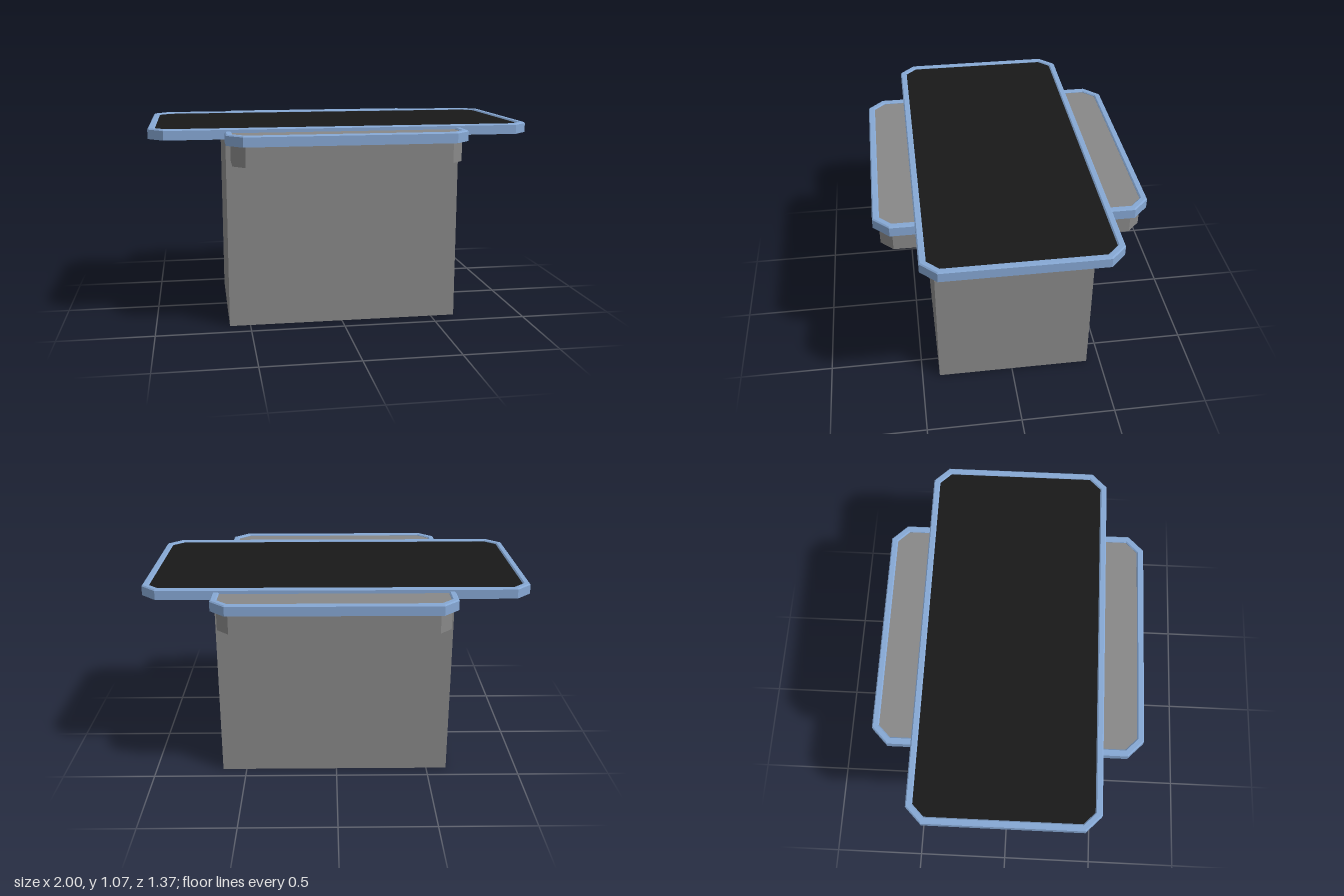
import * as THREE from 'three';

const mat = (color) => new THREE.MeshStandardMaterial({ color, flatShading: true });
const CHAMFER = 0.08;

// Outline with chamfered corners, inset by d, as [x, z] points running
// left to right along the front. With an inner end it is cut off square there.
function outline(halfX, halfZ, d, endZ) {
  const a = halfX - d, b = halfZ - d, c = CHAMFER - d * (2 - Math.SQRT2);
  const front = [[-a, b - c], [-a + c, b], [a - c, b], [a, b - c]];
  if (endZ !== undefined) return [[-a, endZ], ...front, [a, endZ]];
  return [...front, ...front.map(([x, z]) => [-x, -z])];
}

// Solid slab filling an outline between two heights
function slab(points, bottom, top) {
  const shape = new THREE.Shape(points.map(([x, z]) => new THREE.Vector2(x, z)));
  const geo = new THREE.ExtrudeGeometry(shape, { depth: top - bottom, bevelEnabled: false });
  return geo.rotateX(Math.PI / 2).translate(0, top, 0);
}

// Rim with small top bevels, swept around an outline
function rim(halfX, halfZ, bottom, top, endZ) {
  const w = 0.035, e = 0.006;
  const profile = [
    [0, bottom], [0, top - e], [e, top], [w - e, top], [w, top - e], [w, bottom],
  ];
  const m = profile.length, open = endZ !== undefined;
  const rings = profile.map(([d]) => outline(halfX, halfZ, d, endZ));
  const n = rings[0].length, pos = [], index = [];
  for (let i = 0; i < n; i++) {
    for (let j = 0; j < m; j++) pos.push(rings[j][i][0], profile[j][1], rings[j][i][1]);
  }
  for (let i = 0; i < (open ? n - 1 : n); i++) {
    for (let j = 0; j < m; j++) {
      const i2 = ((i + 1) % n) * m, j2 = (j + 1) % m, i1 = i * m;
      index.push(i1 + j, i2 + j, i2 + j2, i1 + j, i2 + j2, i1 + j2);
    }
  }
  // Close the two ends of an open rim
  if (open) {
    const s = (n - 1) * m;
    for (let k = 1; k < m - 1; k++) index.push(0, k, k + 1, s, s + k + 1, s + k);
  }
  const geo = new THREE.BufferGeometry();
  geo.setAttribute('position', new THREE.Float32BufferAttribute(pos, 3));
  geo.setIndex(index);
  const flat = geo.toNonIndexed();
  flat.computeVertexNormals();
  return flat;
}

export function createModel() {
  const model = new THREE.Group();
  model.name = 'table';
  const grey = mat(0x888888), blue = mat(0x86a8d4), black = mat(0x181818);

  const add = (parent, name, geo, material) => {
    const mesh = new THREE.Mesh(geo, material);
    mesh.name = name;
    parent.add(mesh);
    return mesh;
  };

  // Block base
  add(model, 'base', new THREE.BoxGeometry(1.24, 1.015, 0.83), grey)
    .position.set(0.01, 0.5075, -0.01);

  // Table top: dark panel in a blue rim
  add(model, 'topPanel', slab(outline(1, 0.482, 0.02), 1.013, 1.062), black);
  add(model, 'topRim', rim(1, 0.482, 1.016, 1.07), blue);

  // Lower shelves at the front and back
  for (const [name, x, turn] of [['front', 0.0025, 0], ['back', 0.0125, Math.PI]]) {
    const shelf = new THREE.Group();
    shelf.name = name + 'Shelf';
    shelf.position.x = x;
    shelf.rotation.y = turn;
    add(shelf, name + 'ShelfBlock', slab(outline(0.6175, 0.686, 0.03, 0.38), 0.895, 1.047), grey);
    add(shelf, name + 'ShelfRim', rim(0.6175, 0.686, 1.0, 1.055, 0.46), blue);
    model.add(shelf);
  }
  return model;
}
